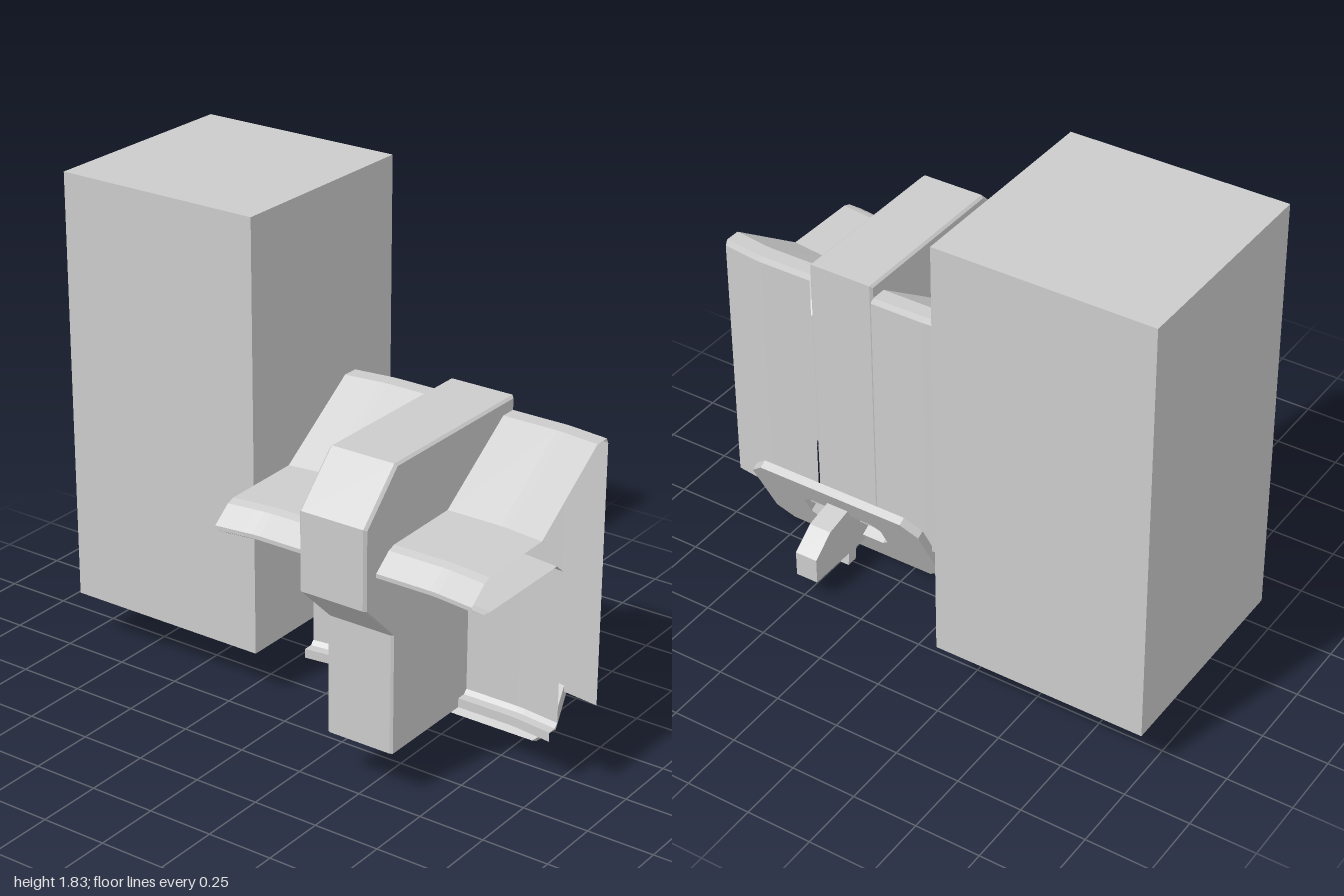
import * as THREE from 'three';

const grey = new THREE.MeshStandardMaterial({ color: 0xcccccc, flatShading: true, side: THREE.DoubleSide });

function add(parent, name, geometry) {
  const mesh = new THREE.Mesh(geometry, grey);
  mesh.name = name;
  parent.add(mesh);
  return mesh;
}

// Open sheet through cross-sections: sections = [[x, [[z, y], ...]], ...]
function sheet(sections) {
  const pos = [], index = [], n = sections[0][1].length;
  for (const [x, pts] of sections) for (const [z, y] of pts) pos.push(x, y, z);
  for (let s = 0; s < sections.length - 1; s++) {
    for (let i = 0; i < n - 1; i++) {
      const a = s * n + i, b = a + n;
      index.push(a, a + 1, b, b, a + 1, b + 1);
    }
  }
  const g = new THREE.BufferGeometry();
  g.setAttribute('position', new THREE.Float32BufferAttribute(pos, 3));
  g.setIndex(index);
  g.computeVertexNormals();
  return g;
}

const shapeOf = pts => new THREE.Shape(pts.map(([a, b]) => new THREE.Vector2(a, b)));

// Rectangle with cut corners, centred on the origin
const cutRect = (w, h, c) => [
  [-w + c, -h], [w - c, -h], [w, -h + c], [w, h - c],
  [w - c, h], [-w + c, h], [-w, h - c], [-w, -h + c]];

// Flat ring between two cut rectangles
function ring(outer, inner, z0, z1) {
  const s = shapeOf(cutRect(...outer));
  s.holes.push(shapeOf(cutRect(...inner)));
  return new THREE.ExtrudeGeometry(s, { depth: z1 - z0, bevelEnabled: false }).translate(0, 0, z0);
}

// Side profile [z, y] extruded along x
function slab(pts, width, xMid) {
  const g = new THREE.ExtrudeGeometry(shapeOf(pts.map(([z, y]) => [-z, y])), { depth: width, bevelEnabled: false });
  return g.translate(0, 0, -width / 2).rotateY(Math.PI / 2).translate(xMid, 0, 0);
}

export function createModel() {
  const model = new THREE.Group();
  model.name = 'model';
  const mid = 0.49;

  // Tall plain box
  add(model, 'tallBox', new THREE.BoxGeometry(0.82, 1.645, 0.83)).position.set(-0.59, 1.0125, -0.235);

  // Hollow centre column, open underneath, with slightly eased edges
  const column = [[-0.23, 0.19], [-0.23, 1.25], [0.47, 1.25], [0.64, 1.08], [0.64, 0.79], [0.48, 0.635], [0.48, 0.19]];
  const eased = column.map(([z, y]) => [
    0.2 + (z - 0.2) * 0.98, y < 0.2 ? y : 0.72 + (y - 0.72) * 0.985]);
  add(model, 'columnShell', sheet([[0.355, eased], [0.365, column], [0.61, column], [0.62, eased]]));
  for (const x of [0.355, 0.62]) {
    const side = new THREE.ShapeGeometry(shapeOf(eased.map(([z, y]) => [-z, y])));
    add(model, 'columnSide', side.rotateY(Math.PI / 2).translate(x, 0, 0));
  }

  // Wings: open folded sheet, its outer ends swept slightly forward
  const fold = [[-0.23, 0.19], [-0.23, 1.18], [-0.22, 1.2], [-0.16, 1.2], [0.17, 0.975], [0.48, 0.97],
    [0.51, 0.96], [0.58, 0.905], [0.58, 0.89], [0.51, 0.85], [0.47, 0.845], [0.07, 0.845],
    [0.03, 0.81], [0.03, 0.24], [0.045, 0.225], [0.08, 0.225], [0.08, 0.19]];
  const stations = [[0.13, 0], [0.34, 0], [0.37, 0.002], [0.4, 0.006], [0.51, 0.02]];
  for (const s of [-1, 1]) {
    add(model, s > 0 ? 'leftWing' : 'rightWing', sheet(stations.map(([d, shift]) =>
      [mid + s * d, fold.map(([z, y]) => [z + shift, y])])));
  }

  // Tilted slotted plate with raised rims
  const plate = new THREE.Group();
  plate.name = 'tiltedPlate';
  plate.position.set(mid, 0.19, -0.235);
  plate.rotation.x = -0.486;
  const slot = [0.17, 0.073, 0.03];
  add(plate, 'plate', ring([0.367, 0.2, 0.06], slot, -0.015, 0.005));
  add(plate, 'plateRim', ring([0.367, 0.2, 0.06], [0.32, 0.155, 0.045], 0.005, 0.017));
  add(plate, 'slotRim', ring([0.22, 0.1, 0.04], slot, 0.005, 0.045));
  model.add(plate);

  // Lever through the slot, with a small peg below
  add(model, 'lever', slab([[0.03, 0.19], [0.03, 0.14], [-0.1, 0.09], [-0.5, 0.09], [-0.5, 0.19],
    [-0.41, 0.26], [-0.3, 0.285], [-0.2, 0.28]], 0.09, 0.485));
  add(model, 'peg', slab([[-0.24, 0.1], [-0.25, 0.025], [-0.295, 0.025], [-0.285, 0.1]], 0.07, 0.485));

  return model;
}
